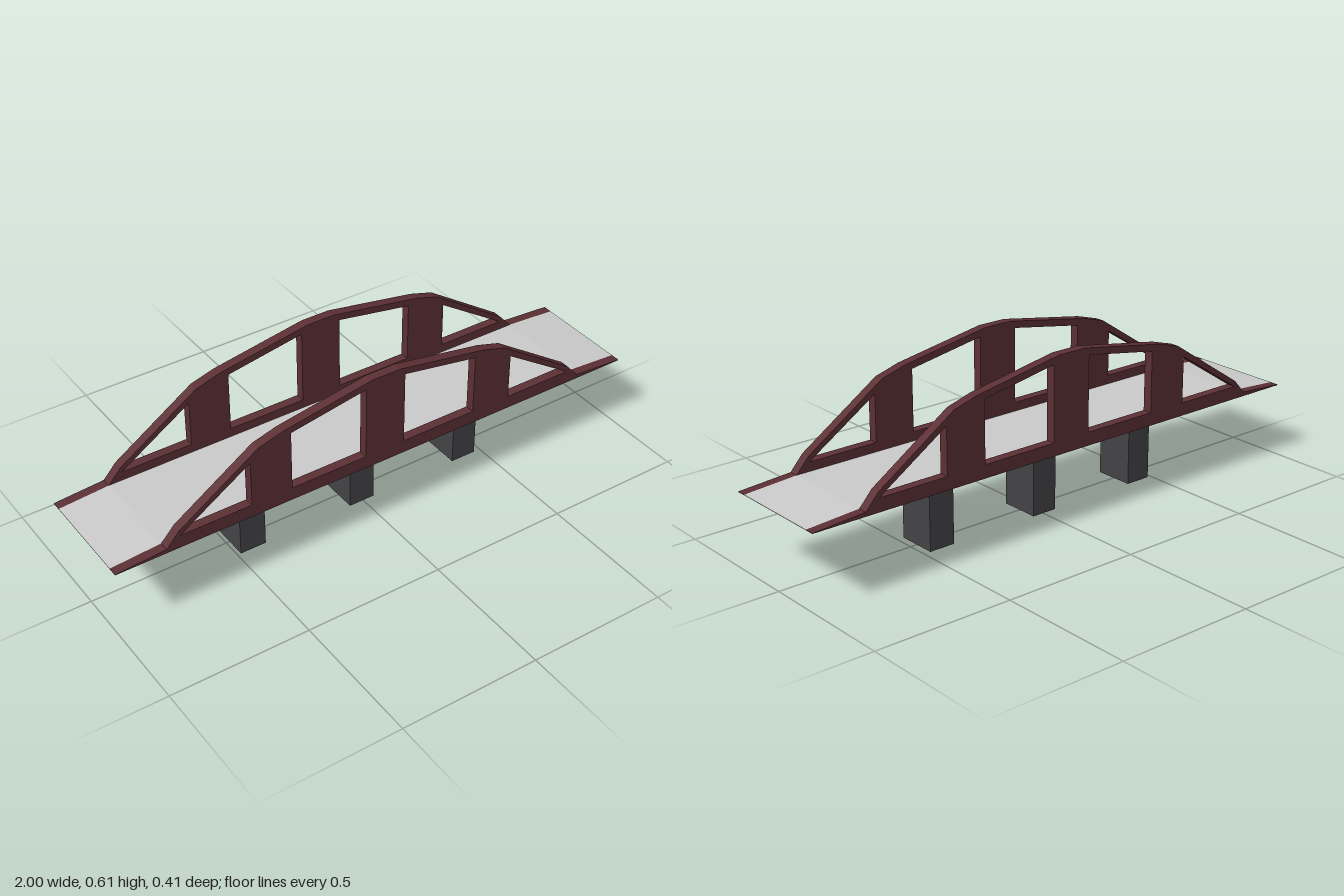
import * as THREE from 'three';

const mat = (color, side = THREE.FrontSide) => new THREE.MeshStandardMaterial({ color, side, flatShading: true });
const CX = -0.006; // the superstructure sits slightly off centre
const BASE = 0.263, DECK = 0.278;

const poly = (pts, Type = THREE.Shape) => new Type(pts.map(([x, y]) => new THREE.Vector2(x, y)));

// Extrude a shape along z, starting at z0
function slab(shape, z0, depth) {
  const g = new THREE.ExtrudeGeometry(shape, { depth, bevelEnabled: false });
  return g.translate(0, 0, z0);
}

function add(group, name, geometry, material) {
  const mesh = new THREE.Mesh(geometry, material);
  mesh.name = name;
  group.add(mesh);
  return mesh;
}

// Arched side wall with four openings between its posts
function trussShape() {
  const half = [[0.815, DECK], [0.768, 0.33], [0.479, 0.521], [0.39, 0.547], [0.053, 0.605]];
  const right = half.map(([x, y]) => [CX + x, y]);
  const left = half.map(([x, y]) => [CX - x, y]).reverse();
  const shape = poly([[-1, BASE], [1, BASE], [1, BASE + 0.002], ...right, ...left, [-1, BASE + 0.002]]);
  for (const s of [-1, 1]) {
    shape.holes.push(
      poly([[CX + s * 0.765, 0.31], [CX + s * 0.508, 0.31], [CX + s * 0.508, 0.476]], THREE.Path),
      poly([[CX + s * 0.358, 0.31], [CX + s * 0.075, 0.31], [CX + s * 0.075, 0.577], [CX + s * 0.358, 0.528]], THREE.Path)
    );
  }
  return shape;
}

// Downward-facing panel between two x positions
function panel(x0, x1) {
  return new THREE.PlaneGeometry(x1 - x0, 0.408).rotateX(Math.PI / 2).translate((x0 + x1) / 2, BASE - 0.001, 0);
}

export function createModel() {
  const bridge = new THREE.Group();
  bridge.name = 'bridge';
  const red = mat(0x5c3034), dark = mat(0x444446), grey = mat(0xcccccc);

  // Side trusses
  const truss = trussShape();
  add(bridge, 'leftTruss', slab(truss, 0.17, 0.034), red);
  add(bridge, 'rightTruss', slab(truss, -0.204, 0.034), red);

  // Road deck with sloping ends
  const road = poly([[-1, BASE], [1, BASE], [1, BASE + 0.002], [CX + 0.815, DECK], [CX - 0.815, DECK], [-1, BASE + 0.002]]);
  add(bridge, 'roadDeck', slab(road, -0.17, 0.34), grey);

  // Underside, with a darker panel below one ramp
  add(bridge, 'deckUnderside', panel(-1, 0.81), red);
  add(bridge, 'rampUnderside', panel(0.81, 1), dark);

  // Piers with flared heads
  const pier = poly([[-0.072, 0], [0.072, 0], [0.072, 0.195], [0.13, 0.25], [0.13, BASE],
    [-0.13, BASE], [-0.13, 0.25], [-0.072, 0.195]]);
  const pierGeometry = slab(pier, -0.048, 0.096).rotateY(Math.PI / 2);
  for (const [i, name] of ['rightPier', 'middlePier', 'leftPier'].entries()) {
    add(bridge, name, pierGeometry, dark).position.x = CX + (i - 1) * 0.433;
  }
  return bridge;
}
